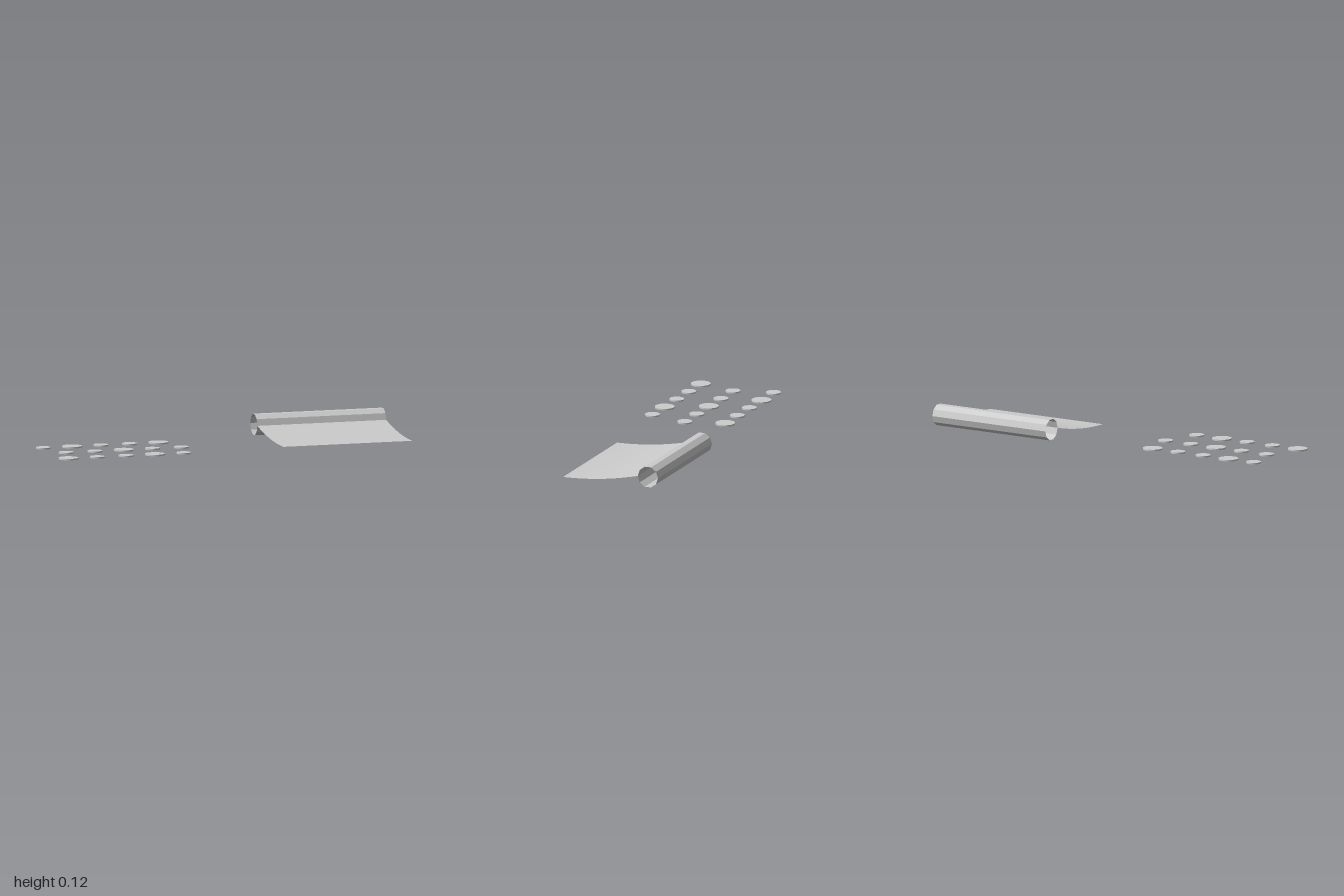
import * as THREE from 'three';

// Ribbon running along x, swept through [z, y] profile points
function ribbon(points, x0, x1, faceted) {
  const positions = [], index = [];
  points.forEach(([z, y], i) => {
    positions.push(x0, y, z, x1, y, z);
    if (i > 0) {
      const a = 2 * (i - 1);
      index.push(a, a + 1, a + 2, a + 1, a + 3, a + 2);
    }
  });
  let geometry = new THREE.BufferGeometry();
  geometry.setAttribute('position', new THREE.Float32BufferAttribute(positions, 3));
  geometry.setIndex(index);
  if (faceted) geometry = geometry.toNonIndexed();
  geometry.computeVertexNormals();
  return geometry;
}

export function createModel() {
  const model = new THREE.Group();
  model.name = 'rolledSheetAndDiscs';
  const grey = new THREE.MeshStandardMaterial({ color: 0xcccccc, side: THREE.DoubleSide });
  grey.name = 'light grey';

  function add(name, geometry, parent) {
    const mesh = new THREE.Mesh(geometry, grey);
    mesh.name = name;
    parent.add(mesh);
    return mesh;
  }

  // Unrolled sheet, curving up to the front of the roll
  const x0 = 0.275, x1 = 1, rollZ = -0.268, rollY = 0.06, radius = 0.0585;
  const frontZ = 0.225, joinZ = rollZ + radius;
  const sheet = [];
  for (let i = 0; i <= 14; i++) {
    const t = i / 14;
    sheet.push([frontZ + (joinZ - frontZ) * t, 0.005 + (rollY - 0.005) * t * t]);
  }
  add('sheet', ribbon(sheet, x0, x1, false), model);

  // Ten-sided open roll, wound from the sheet over the top and around
  const roll = [];
  for (let i = 0; i <= 10; i++) {
    const a = (i / 10) * Math.PI * 2;
    roll.push([rollZ + radius * Math.cos(a), rollY + radius * Math.sin(a)]);
  }
  add('roll', ribbon(roll, x0, x1, true), model);

  // Staggered rows of flat discs, some of them larger
  const discs = new THREE.Group();
  discs.name = 'discs';
  model.add(discs);
  const height = 0.008;
  const rows = [
    { z: -0.155, x: -0.947, large: [1, 4] },
    { z: 0.055, x: -0.889, large: [2] },
    { z: 0.267, x: -0.947, large: [0, 3] },
  ];
  for (const row of rows) {
    for (let i = 0; i < 5; i++) {
      const big = row.large.includes(i);
      const r = big ? 0.053 : 0.04;
      const disc = add(big ? 'largeDisc' : 'smallDisc', new THREE.CylinderGeometry(r, r, height, 24), discs);
      disc.position.set(row.x + i * 0.162, height / 2, row.z);
    }
  }
  return model;
}
